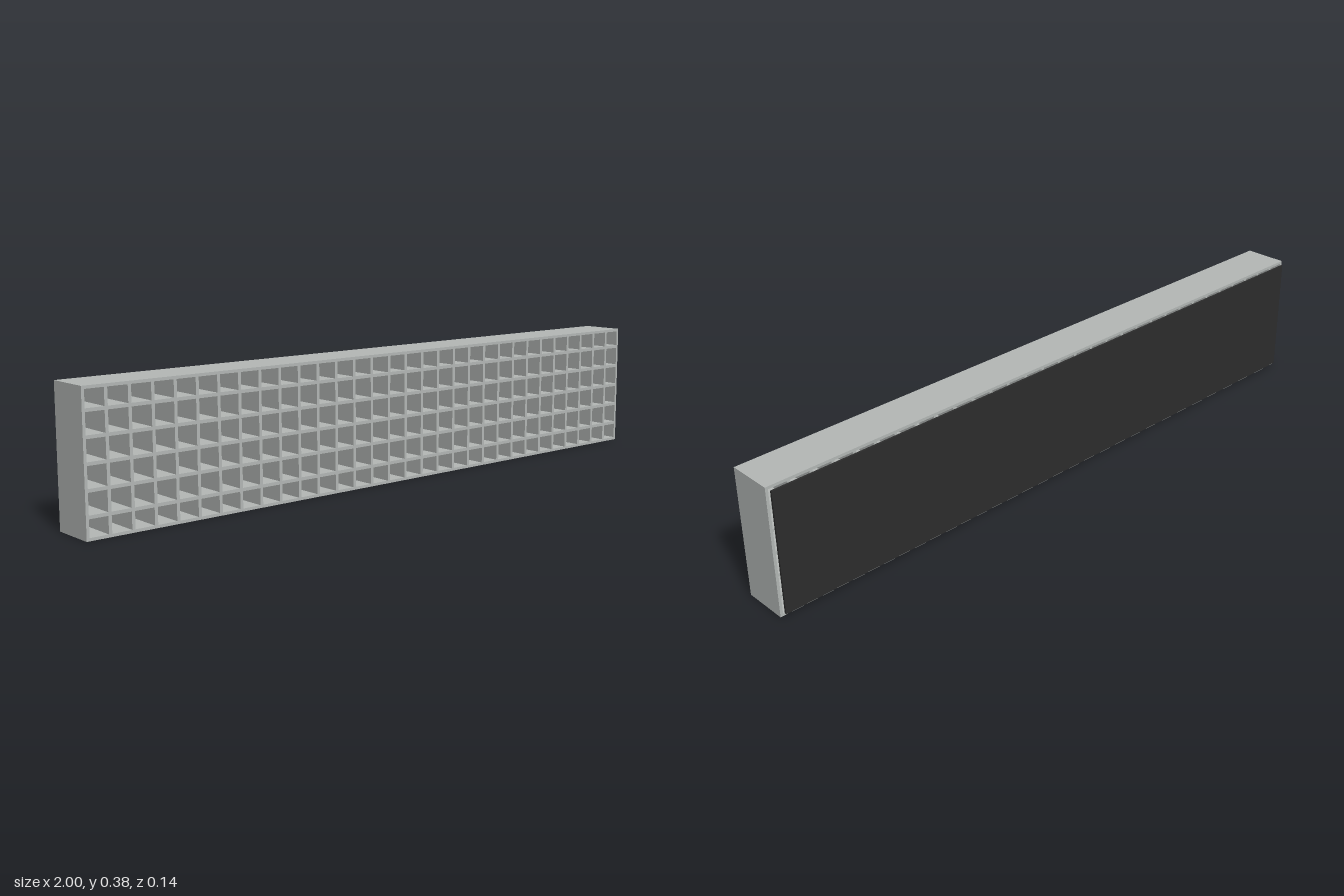
import * as THREE from 'three';

export function createModel() {
  const model = new THREE.Group();
  const grey = new THREE.MeshStandardMaterial({ color: 0xb4b8b6 });
  grey.name = 'light grey';
  const black = new THREE.MeshStandardMaterial({ color: 0x2c2c2c });
  black.name = 'charcoal';

  const W = 2, H = 0.375, BACK = -0.06, FRONT = 0.071;
  const PITCH = 0.0645, BAR = 0.009, RIM = 0.008;

  // Open spans between evenly pitched bars, with the outer cells cut short by the rim
  const spans = (size, centre, cells) => Array.from({ length: cells }, (_, i) => {
    const a = (i - cells / 2) * PITCH + BAR / 2;
    const b = (i + 1 - cells / 2) * PITCH - BAR / 2;
    return [
      centre + (i === 0 ? -size / 2 + RIM : a),
      centre + (i === cells - 1 ? size / 2 - RIM : b),
    ];
  });

  // Square-celled grille, open from front to back
  const outline = new THREE.Shape([
    new THREE.Vector2(-W / 2, 0), new THREE.Vector2(W / 2, 0),
    new THREE.Vector2(W / 2, H), new THREE.Vector2(-W / 2, H),
  ]);
  for (const [x0, x1] of spans(W, 0, 31)) {
    for (const [y0, y1] of spans(H, H / 2, 6)) {
      outline.holes.push(new THREE.Path([
        new THREE.Vector2(x0, y0), new THREE.Vector2(x0, y1),
        new THREE.Vector2(x1, y1), new THREE.Vector2(x1, y0),
      ]));
    }
  }
  const grille = new THREE.Mesh(
    new THREE.ExtrudeGeometry(outline, { depth: FRONT - BACK, bevelEnabled: false }), grey);
  grille.name = 'grille';
  grille.position.z = BACK;
  model.add(grille);

  // Thin dark panel, set just behind the grille
  const panel = new THREE.Mesh(new THREE.BoxGeometry(1.98, 0.355, 0.006), black);
  panel.name = 'backPanel';
  panel.position.set(0, H / 2, -0.068);
  model.add(panel);

  return model;
}
